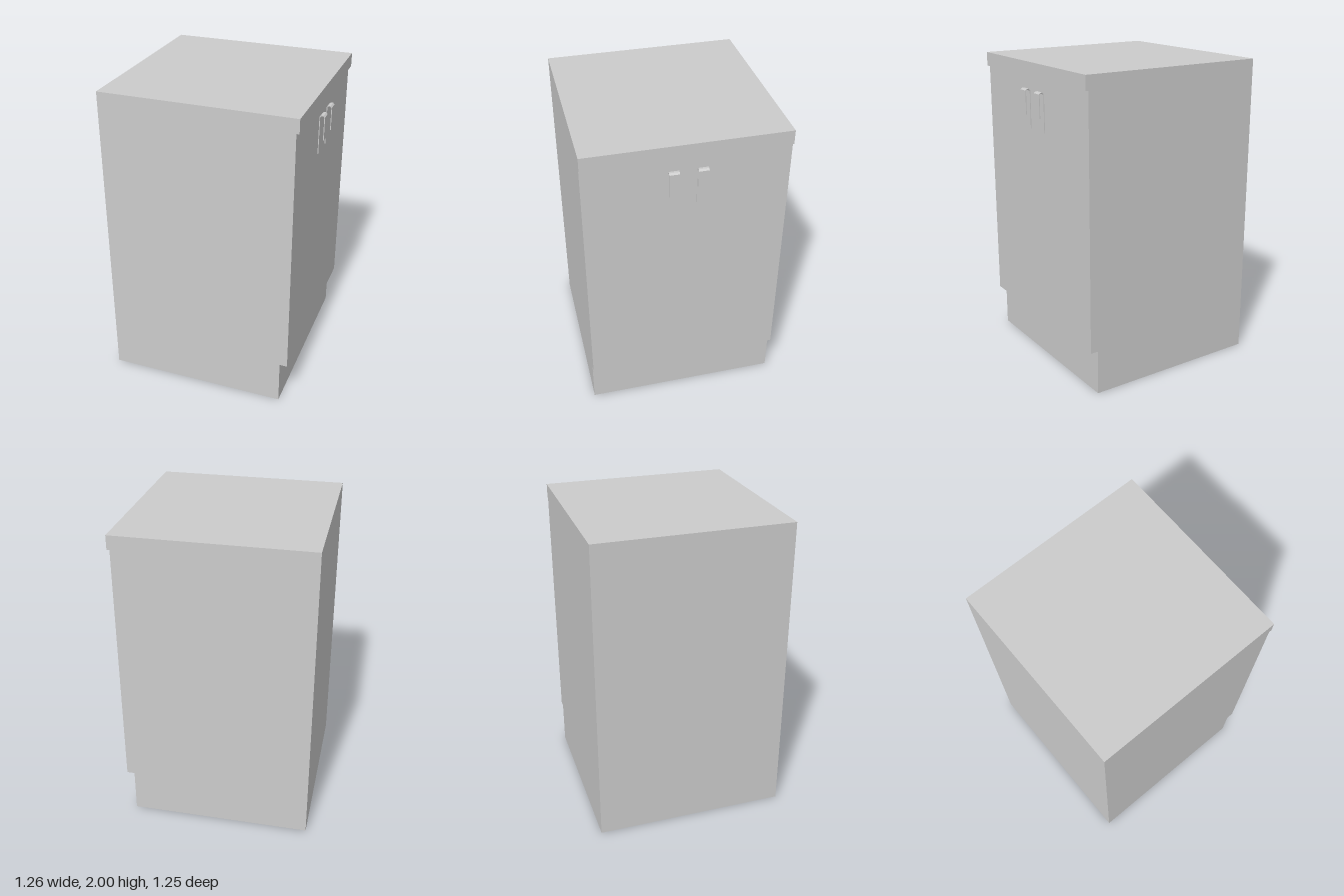
import * as THREE from 'three';

const material = new THREE.MeshStandardMaterial({ color: 0xcccccc, flatShading: true });

// Extrudes an (x, y) side profile along z, centred on the given z
function profilePart(name, points, width, z) {
  const shape = new THREE.Shape(points.map(([x, y]) => new THREE.Vector2(x, y)));
  const geometry = new THREE.ExtrudeGeometry(shape, { depth: width, bevelEnabled: false });
  geometry.translate(0, 0, -width / 2);
  const mesh = new THREE.Mesh(geometry, material);
  mesh.name = name;
  mesh.position.z = z;
  return mesh;
}

export function createModel() {
  const model = new THREE.Group();
  model.name = 'baseCabinet';

  const back = -0.632, door = 0.597, top = 0.615, plinth = 0.547;

  // Cabinet body: recessed plinth, flat door face, overhanging worktop
  model.add(profilePart('cabinetBody', [
    [back, 0], [plinth, 0], [plinth, 0.29], [door, 0.29],
    [door, 1.91], [top, 1.91], [top, 2], [back, 2],
  ], 1.25, 0));

  // Two bent-strip hooks: long plate on the door, chamfered bend, short front lip
  const t = 0.005, tip = 0.632, crest = 1.83, bend = 0.01;
  const hookProfile = [
    [door, 1.575], [door + t, 1.575],
    [door + t, crest - bend - 0.002], [door + bend + 0.002, crest - t],
    [tip - bend - 0.002, crest - t], [tip - t, crest - bend - 0.002],
    [tip - t, 1.67], [tip, 1.67],
    [tip, crest - bend], [tip - bend, crest],
    [door + bend, crest], [door, crest - bend],
  ];
  for (const [name, side] of [['leftHook', -1], ['rightHook', 1]]) {
    model.add(profilePart(name, hookProfile, 0.063, side * 0.087));
  }

  return model;
}
